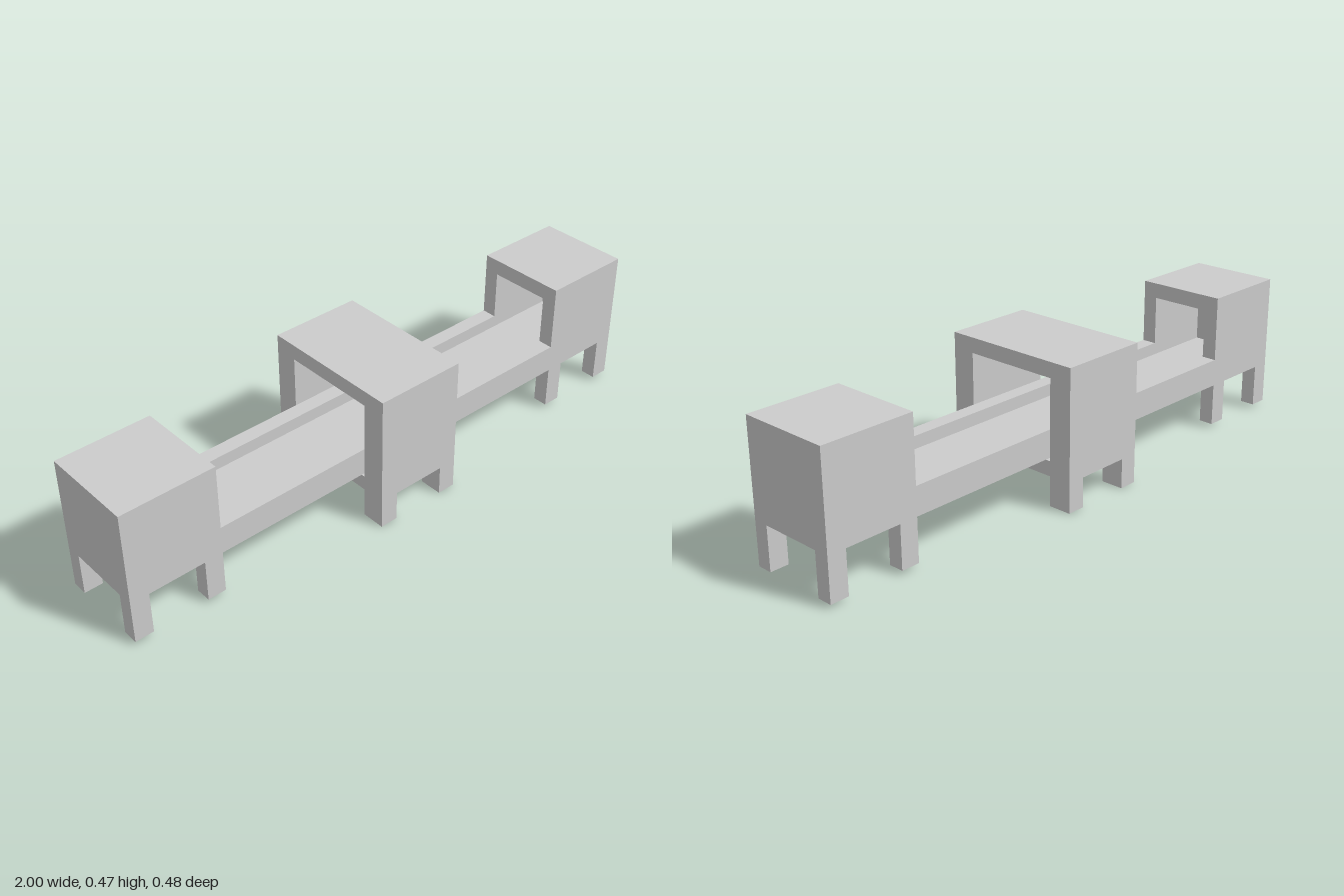
import * as THREE from 'three';

const material = new THREE.MeshStandardMaterial({ color: 0xcccccc, flatShading: true });

function box(name, x0, x1, y0, y1, z0, z1) {
  const mesh = new THREE.Mesh(new THREE.BoxGeometry(x1 - x0, y1 - y0, z1 - z0), material);
  mesh.position.set((x0 + x1) / 2, (y0 + y1) / 2, (z0 + z1) / 2);
  mesh.name = name;
  return mesh;
}

// Upright panel cut from half an outline (x >= 0), mirrored across x = 0
function sidePanel(name, half, z0, z1) {
  const mirrored = half.map(([x, y]) => [-x, y]).reverse();
  const shape = new THREE.Shape([...half, ...mirrored].map(([x, y]) => new THREE.Vector2(x, y)));
  const geometry = new THREE.ExtrudeGeometry(shape, { depth: z1 - z0, bevelEnabled: false });
  const mesh = new THREE.Mesh(geometry, material);
  mesh.position.z = z0;
  mesh.name = name;
  return mesh;
}

export function createModel() {
  const model = new THREE.Group();
  model.name = 'troughWithHoods';
  const top = 0.469;

  // Long trough with a hooded box on legs at each end
  const trough = new THREE.Group();
  trough.name = 'trough';
  const foot = 0.013, base = 0.157, rail = 0.25, hood = 0.687, leg = 0.062;
  const outer = 0.156, inner = 0.105;
  const troughSide = [
    [hood, base], [hood, foot], [hood + leg, foot], [hood + leg, base],
    [1 - leg, base], [1 - leg, foot], [1, foot], [1, top], [hood, top], [hood, rail],
  ];
  trough.add(
    sidePanel('troughFrontSide', troughSide, inner, outer),
    sidePanel('troughBackSide', troughSide, -outer, -inner),
    box('troughFloor', -1, 1, base, 0.208, -inner, inner),
  );
  for (const s of [-1, 1]) {
    const side = s > 0 ? 'left' : 'right';
    const span = (a, b) => (s > 0 ? [a, b] : [-b, -a]);
    trough.add(
      box(side + 'HoodRoof', ...span(hood, 1), top - 0.052, top, -inner, inner),
      box(side + 'HoodEndWall', ...span(1 - leg, 1), 0.208, top - 0.052, -inner, inner),
    );
  }

  // Wider open-ended frame that surrounds the middle of the trough
  const frame = new THREE.Group();
  frame.name = 'middleFrame';
  const w = 0.154, out = 0.242, inn = 0.163;
  const frameSide = [[w - leg, 0.1], [w - leg, 0], [w, 0], [w, top]];
  frame.add(
    sidePanel('frameFrontSide', frameSide, inn, out),
    sidePanel('frameBackSide', frameSide, -out, -inn),
    box('frameRoof', -w, w, 0.418, top, -inn, inn),
    box('frameFloor', -w, w, 0.1, 0.15, -inn, inn),
  );

  model.add(trough, frame);
  return model;
}
